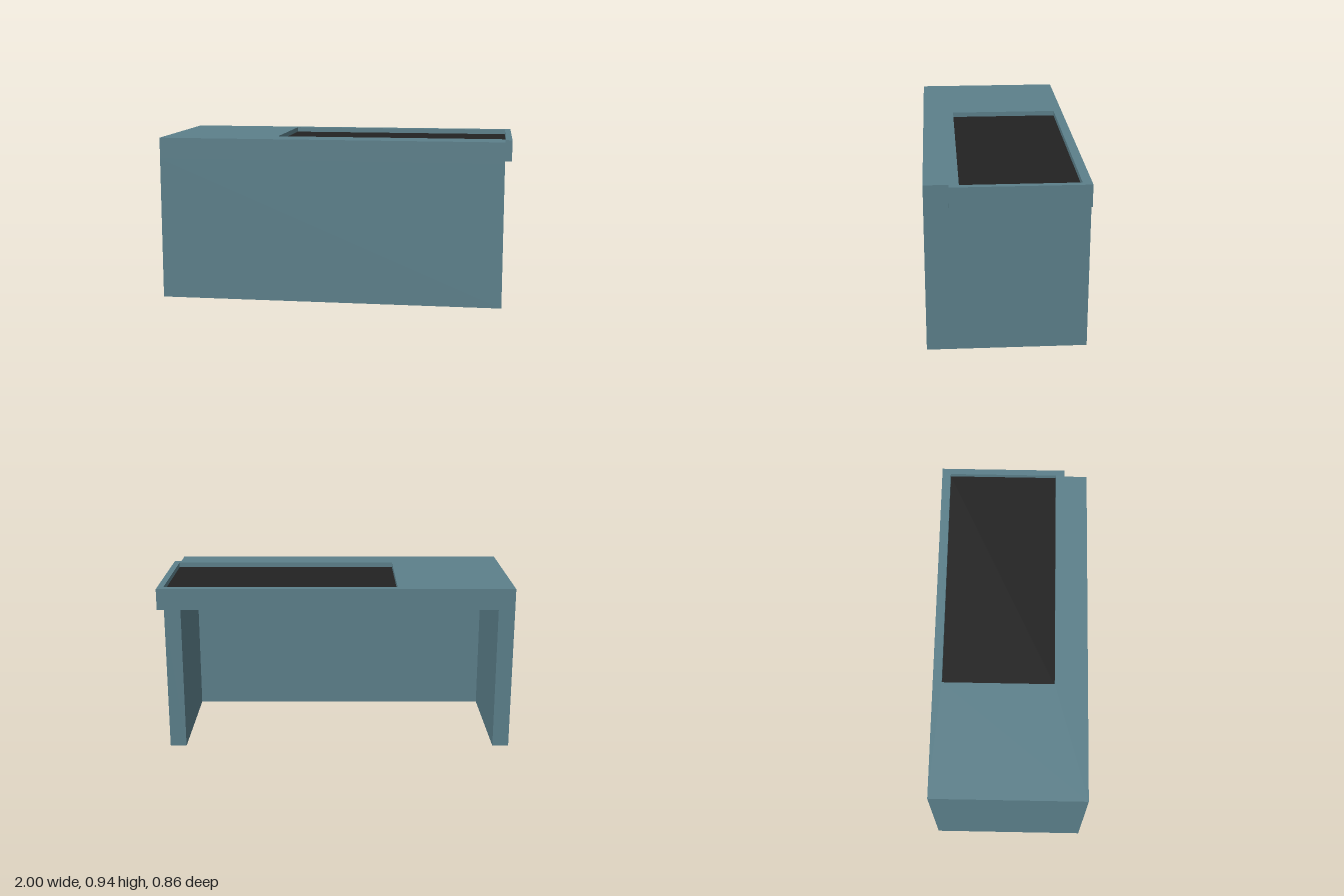
import * as THREE from 'three';

const H = 0.935;          // desk height
const UNDER = 0.815;      // underside of the top
const FLOOR = 0.903;      // floor of the recess
const X0 = -1, X1 = 0.96, Z = 0.43;
const LEG = 0.092, FRONT = 0.12;

const teal = new THREE.MeshStandardMaterial({ color: 0x5c808b });
teal.name = 'dustyTeal';
const black = new THREE.MeshStandardMaterial({ color: 0x222222 });
black.name = 'charcoal';

// Points are plan positions [x, z]
const toPoints = (pts) => pts.map(([x, z]) => new THREE.Vector2(x, -z));

// Extrudes a plan outline upward from y0 to y1
function slab(name, outline, y0, y1, hole) {
  const shape = new THREE.Shape(toPoints(outline));
  if (hole) shape.holes.push(new THREE.Path(toPoints(hole)));
  const geo = new THREE.ExtrudeGeometry(shape, { depth: y1 - y0, bevelEnabled: false });
  geo.rotateX(-Math.PI / 2).translate(0, y0, 0);
  const mesh = new THREE.Mesh(geo, teal);
  mesh.name = name;
  return mesh;
}

export function createModel() {
  const desk = new THREE.Group();
  desk.name = 'desk';

  // U-shaped carcass: front panel and two side panels, open at the back
  const carcass = [
    [X0, Z], [X1, Z], [X1, -Z], [X1 - LEG, -Z], [X1 - LEG, Z - FRONT],
    [X0 + LEG, Z - FRONT], [X0 + LEG, -Z], [X0, -Z],
  ];
  desk.add(slab('frontAndSidePanels', carcass, 0, UNDER));

  // Top with a side ledge, and a rim around the recess
  const top = [[X0, Z], [X1, Z], [X1, 0.3], [1, 0.3], [1, -Z], [X0, -Z]];
  const r = { x0: -0.345, x1: 0.965, z0: -0.38, z1: 0.247 };
  const recess = [[r.x0, r.z0], [r.x1, r.z0], [r.x1, r.z1], [r.x0, r.z1]];
  desk.add(slab('deskTop', top, UNDER, FLOOR));
  desk.add(slab('recessRim', top, FLOOR, H, recess));

  // Dark inlay on the floor of the recess
  const inlay = new THREE.Mesh(
    new THREE.BoxGeometry(r.x1 - r.x0, 0.004, r.z1 - r.z0), black);
  inlay.position.set((r.x0 + r.x1) / 2, FLOOR + 0.002, (r.z0 + r.z1) / 2);
  inlay.name = 'recessInlay';
  desk.add(inlay);

  return desk;
}
